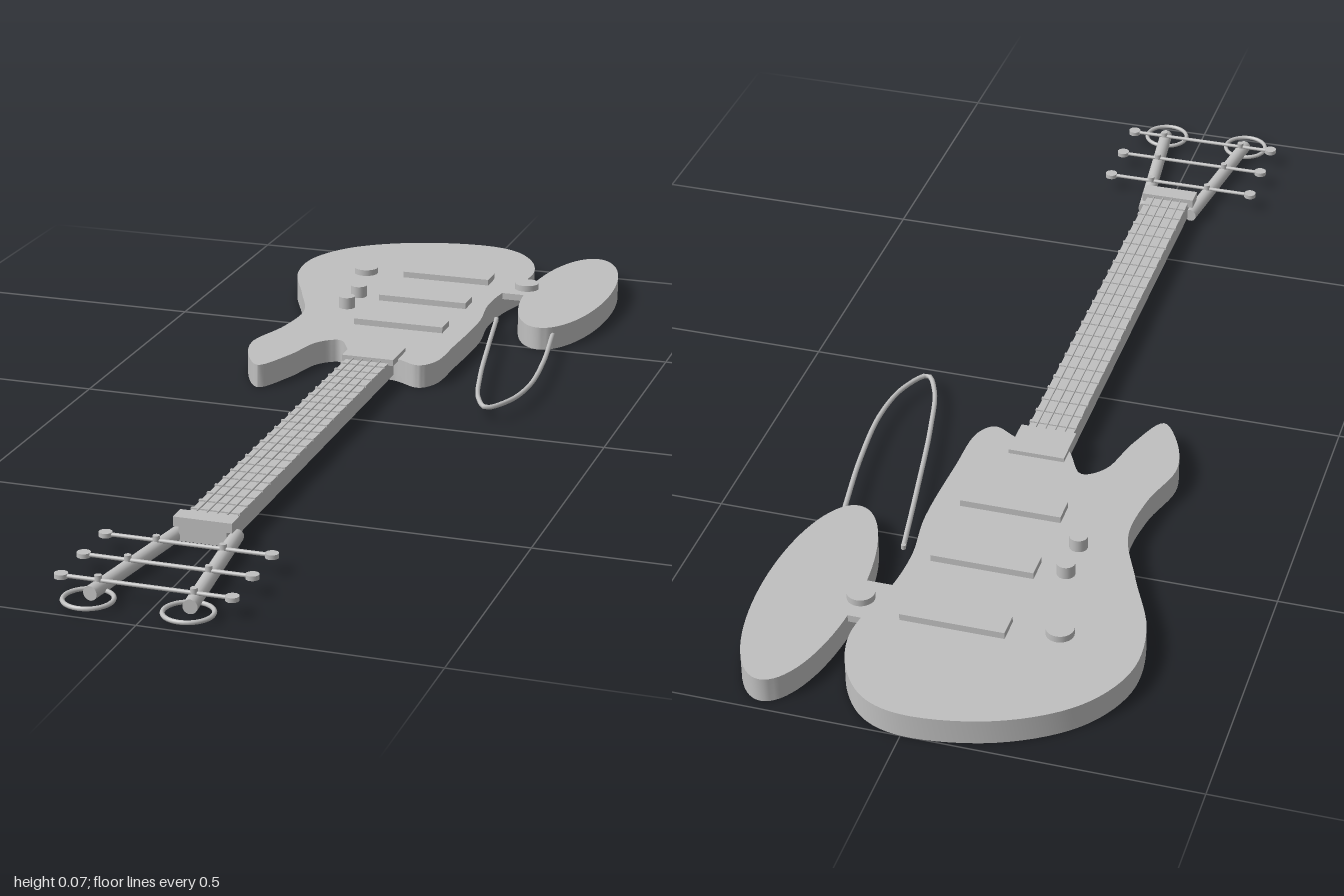
import * as THREE from 'three';
import { toCreasedNormals } from 'three/addons/utils/BufferGeometryUtils.js';

const grey = new THREE.MeshStandardMaterial({ color: 0xc0c0c0 });
grey.name = 'plain grey';

export function createModel() {
  const model = new THREE.Group();
  model.name = 'guitar';

  const add = (name, geometry, x = 0, y = 0, z = 0) => {
    const mesh = new THREE.Mesh(geometry, grey);
    mesh.name = name;
    mesh.position.set(x, y, z);
    model.add(mesh);
    return mesh;
  };
  // box given by its limits on each axis
  const box = (name, x0, x1, y0, y1, z0, z1) =>
    add(name, new THREE.BoxGeometry(x1 - x0, y1 - y0, z1 - z0), (x0 + x1) / 2, (y0 + y1) / 2, (z0 + z1) / 2);
  // upright cylinder between two heights
  const disc = (name, x, z, r, y0, y1) =>
    add(name, new THREE.CylinderGeometry(r, r, y1 - y0, 28), x, (y0 + y1) / 2, z);
  // round rod between two points
  const rod = (name, a, b, r, sides = 16) => {
    const from = new THREE.Vector3(...a), to = new THREE.Vector3(...b);
    const dir = to.clone().sub(from);
    const mesh = add(name, new THREE.CylinderGeometry(r, r, dir.length(), sides));
    mesh.position.copy(from).add(to).multiplyScalar(0.5);
    mesh.quaternion.setFromUnitVectors(new THREE.Vector3(0, 1, 0), dir.normalize());
    return mesh;
  };
  // flat slab standing on y = 0, from an outline in x and z
  const slab = (name, points, height) => {
    const shape = new THREE.Shape(points.map(([x, z]) => new THREE.Vector2(x, -z)));
    const geometry = new THREE.ExtrudeGeometry(shape, { depth: height, bevelEnabled: false });
    geometry.rotateX(-Math.PI / 2);
    return add(name, toCreasedNormals(geometry, 0.6));
  };

  // Body with two horns
  const outline = [
    [0, -1], [0.07, -0.977], [0.12, -0.915], [0.142, -0.84], [0.136, -0.77], [0.117, -0.69], [0.112, -0.6],
    [0.124, -0.5], [0.12, -0.34], [0.112, -0.23], [0.088, -0.203], [0.03, -0.23], [-0.05, -0.23],
    [-0.1, -0.3], [-0.136, -0.275], [-0.163, -0.185], [-0.2, -0.11], [-0.235, -0.155], [-0.258, -0.24],
    [-0.232, -0.345], [-0.226, -0.45], [-0.268, -0.56], [-0.322, -0.69], [-0.325, -0.8], [-0.27, -0.9], [-0.15, -0.975],
  ];
  const bodyCurve = new THREE.CatmullRomCurve3(outline.map(([x, z]) => new THREE.Vector3(x, 0, z)), true);
  slab('body', bodyCurve.getPoints(180).slice(0, -1).map(p => [p.x, p.z]), 0.045);

  // Oval side wing and the small bridge that carries it
  const oval = [];
  for (let i = 0; i < 72; i++) {
    const t = (i / 72) * Math.PI * 2;
    oval.push([0.244 + 0.084 * Math.cos(t), -0.738 + 0.243 * Math.sin(t)]);
  }
  slab('sideWing', oval, 0.045);
  box('wingBridge', 0.11, 0.175, 0.032, 0.045, -0.787, -0.69);

  // Bent wire arm
  const wire = new THREE.CatmullRomCurve3([
    [0.14, -0.565], [0.17, -0.4], [0.205, -0.22], [0.235, -0.105], [0.263, -0.06], [0.293, -0.11],
    [0.306, -0.2], [0.296, -0.34], [0.27, -0.51],
  ].map(([x, z]) => new THREE.Vector3(x, 0.029, z)));
  add('wireArm', new THREE.TubeGeometry(wire, 80, 0.0045, 10));
  disc('wireArmEnd', 0.14, -0.565, 0.0045, 0.025, 0.033);

  // Pickups and knobs
  for (const z of [-0.752, -0.587, -0.425]) box('pickup', -0.105, 0.076, 0.04, 0.057, z - 0.023, z + 0.023);
  for (const x of [-0.188, 0.156]) disc('flatKnob', x, -0.736, 0.024, 0.04, 0.057);
  for (const z of [-0.58, -0.503]) disc('tallKnob', -0.153, z, 0.016, 0.04, 0.068);

  // Neck with end plates, frets and strings
  box('neck', -0.053, 0.031, 0.011, 0.045, -0.25, 0.66);
  box('neckPlate', -0.061, 0.041, 0.041, 0.053, -0.275, -0.195);
  box('nut', -0.063, 0.041, 0.036, 0.053, 0.645, 0.68);
  box('neckEnd', -0.053, 0.031, 0.011, 0.038, 0.65, 0.68);
  for (let i = 0; i < 22; i++) {
    const z = -0.17 + i * 0.0375;
    box('fret', -0.0545, 0.0325, 0.043, 0.0475, z - 0.003, z + 0.003);
  }
  for (let i = 0; i < 4; i++) {
    const x = -0.038 + i * 0.018;
    rod('string', [x, 0.049, -0.21], [x, 0.049, 0.66], 0.0015, 6);
  }

  // Open headstock: two splayed rails, each ending in a ring
  const rails = [[-0.058, -0.1], [0.036, 0.069]];
  for (const [x0, x1] of rails) {
    rod('headRail', [x0, 0.018, 0.645], [x1, 0.018, 0.945], 0.0125);
    const ring = add('headRing', new THREE.TorusGeometry(0.041, 0.004, 8, 36), x1, 0.012, 0.952);
    ring.rotation.x = Math.PI / 2;
  }

  // Tuner bars across the rails, with posts and end buttons
  for (const z of [0.735, 0.827, 0.919]) {
    rod('tunerBar', [-0.16, 0.031, z], [0.13, 0.031, z], 0.0035, 10);
    for (const x of [-0.16, 0.13]) disc('tunerButton', x, z, 0.0115, 0.027, 0.035);
    for (const [x0, x1] of rails) {
      const t = (z - 0.645) / 0.3;
      disc('tunerPost', x0 + (x1 - x0) * t, z, 0.006, 0.01, 0.04);
    }
  }
  return model;
}
